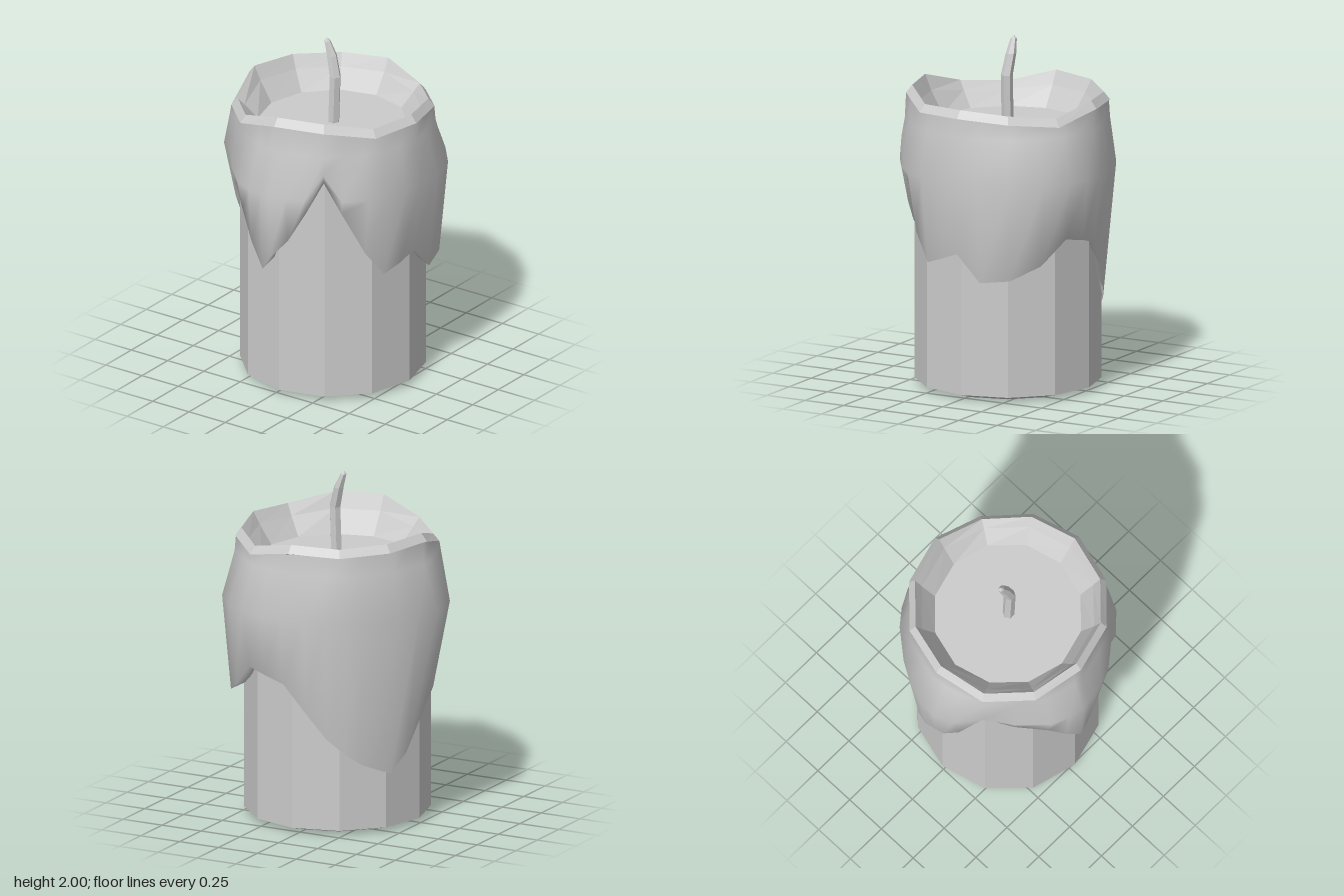
import * as THREE from 'three';

const CX = 0.03, CZ = -0.01, SIDES = 12;
const rad = THREE.MathUtils.degToRad;

// Height of the rim crest at each of the twelve corners, starting at the front
const CREST = [1.72, 1.72, 1.67, 1.68, 1.66, 1.63, 1.69, 1.68, 1.69, 1.70, 1.62, 1.64];

// Drips: [angle, bottom height, bulge radius, bottom radius]
const DRIPS = [
  [0, 0.88, 0.635, 0.62], [10, 1.0, 0.63, 0.60], [20, 1.18, 0.62, 0.59], [30, 1.37, 0.60, 0.57],
  [40, 1.18, 0.61, 0.57], [54, 0.92, 0.62, 0.565], [66, 0.77, 0.61, 0.56], [78, 0.81, 0.61, 0.56],
  [89, 0.85, 0.61, 0.56], [104, 0.70, 0.63, 0.58], [121, 0.72, 0.65, 0.60], [138, 0.80, 0.65, 0.60],
  [153, 0.94, 0.65, 0.60], [165, 0.92, 0.63, 0.60], [177, 0.88, 0.615, 0.58], [190, 0.72, 0.61, 0.56],
  [202, 0.57, 0.61, 0.54], [213, 0.48, 0.61, 0.535], [224, 0.41, 0.61, 0.53], [243, 0.34, 0.62, 0.53],
  [255, 0.45, 0.64, 0.54], [267, 0.65, 0.665, 0.56], [276, 0.79, 0.675, 0.585], [286, 0.95, 0.65, 0.58],
  [300, 1.26, 0.59, 0.56], [318, 1.17, 0.585, 0.56], [337, 1.10, 0.63, 0.60], [347, 0.94, 0.64, 0.615],
  [355.5, 0.80, 0.64, 0.62],
];

const polar = (deg, r, y) =>
  new THREE.Vector3(CX + r * Math.sin(rad(deg)), y, CZ + r * Math.cos(rad(deg)));

// Skin closed rings of points, ordered from the lower outside upward
function loft(rings) {
  const n = rings[0].length, index = [];
  for (let i = 0; i < rings.length - 1; i++) {
    for (let j = 0; j < n; j++) {
      const a = i * n + j, b = i * n + (j + 1) % n;
      index.push(a, b, b + n, a, b + n, a + n);
    }
  }
  const geometry = new THREE.BufferGeometry().setFromPoints(rings.flat());
  geometry.setIndex(index);
  geometry.computeVertexNormals();
  return geometry;
}

// Twelve-sided ring following the wavy rim
const rimRing = (r, height) => CREST.map((c, i) => polar(i * 30, r, height(c)));

// Point on the straight edges between the corners of a ring
function onRing(ring, deg) {
  const t = deg / 30, i = Math.floor(t);
  return ring[i % SIDES].clone().lerp(ring[(i + 1) % SIDES], t - i);
}

export function createModel() {
  const group = new THREE.Group();
  const add = (name, geometry, flatShading) => {
    const mesh = new THREE.Mesh(geometry, new THREE.MeshStandardMaterial({
      color: 0xcccccc, flatShading, side: THREE.DoubleSide,
    }));
    mesh.name = name;
    group.add(mesh);
  };

  // Faceted body with a bevelled foot
  const profile = [[0, 0], [0.43, 0], [0.527, 0.03], [0.527, 1.5]].map(p => new THREE.Vector2(...p));
  add('body', new THREE.LatheGeometry(profile, SIDES).translate(CX, 0, CZ), true);

  // Wavy rim, sloping down into the flat pool
  const edge = rimRing(0.575, c => c - 0.045);
  add('rimAndPool', loft([
    edge,
    rimRing(0.54, c => c),
    rimRing(0.5, c => 1.61 + (c - 1.68) * 0.5),
    rimRing(0.425, () => 1.5),
    rimRing(0, () => 1.5),
  ]), true);

  // Melted wax running down from the rim
  const shoulder = edge.map((p, i) => polar(i * 30, 0.582, 1.53));
  add('meltedWax', loft([
    DRIPS.map(([a, y]) => polar(a, 0.515, y + 0.04)),
    DRIPS.map(([a, y, , r]) => polar(a, r, y)),
    DRIPS.map(([a, y, bulge]) => polar(a, bulge, Math.max(1.27, y + 0.06))),
    DRIPS.map(([a]) => onRing(shoulder, a)),
    DRIPS.map(([a]) => onRing(edge, a)),
  ]), false);

  // Bent wick: [x, y, z, radius]
  const wick = [
    [0.035, 1.49, -0.01, 0.034], [0.045, 1.78, -0.01, 0.034],
    [0.015, 1.9, -0.02, 0.03], [-0.015, 1.98, -0.02, 0.018], [-0.018, 2, -0.02, 0],
  ];
  add('wick', loft(wick.map(([x, y, z, r]) => Array.from({ length: 6 }, (_, i) =>
    new THREE.Vector3(x + r * Math.sin(rad(i * 60 + 30)), y, z + r * Math.cos(rad(i * 60 + 30)))))), true);

  return group;
}
